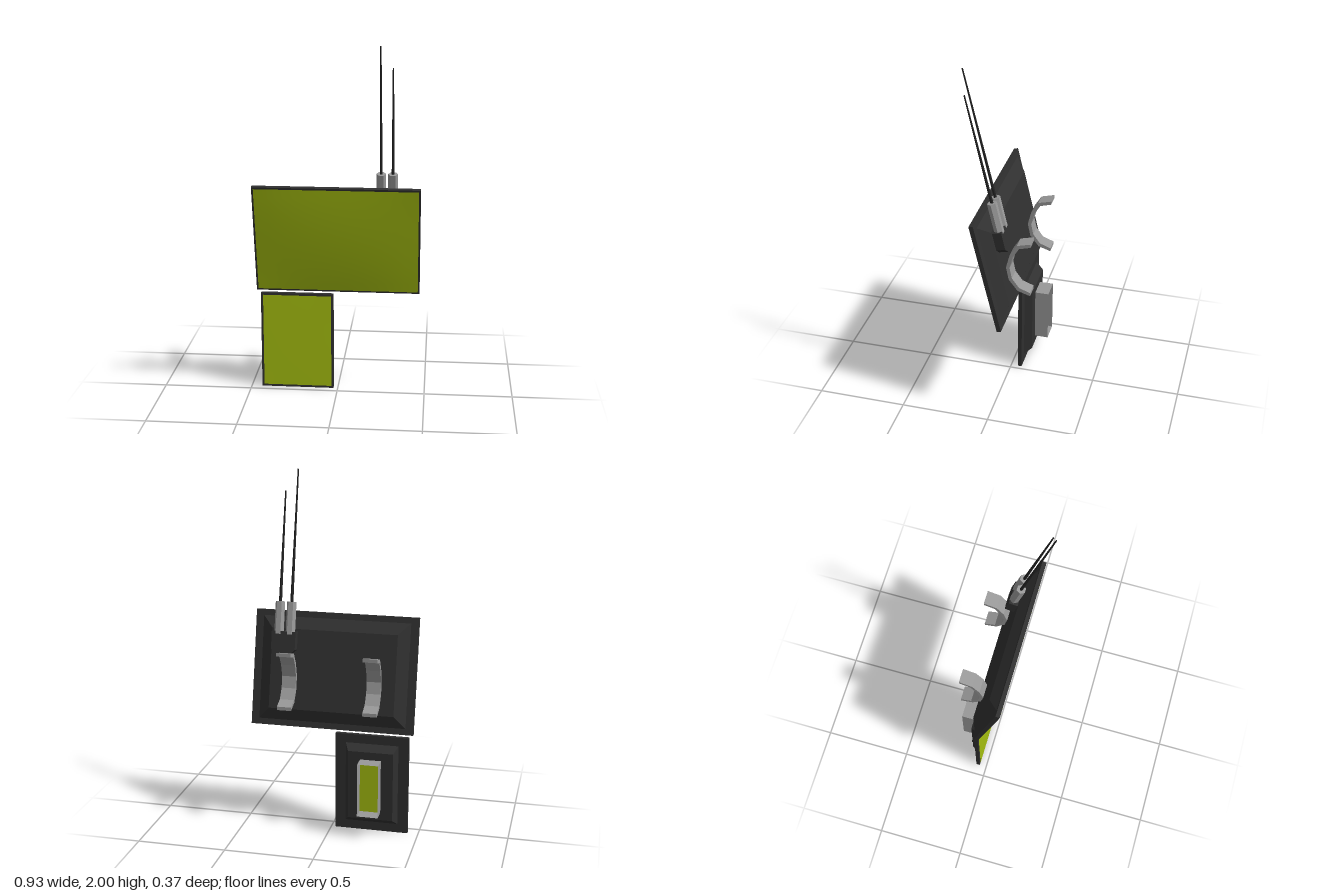
import * as THREE from 'three';

const mat = (color, extra = {}) => new THREE.MeshStandardMaterial({ color, flatShading: true, ...extra });
const dark = mat(0x303030);
const rodMat = mat(0x222222);
const grey = mat(0x999999, { side: THREE.DoubleSide });
const green = new THREE.MeshStandardMaterial({ color: 0xa4bd10, side: THREE.DoubleSide });

function add(parent, name, geometry, material, x = 0, y = 0, z = 0) {
  const mesh = new THREE.Mesh(geometry, material);
  mesh.name = name;
  mesh.position.set(x, y, z);
  parent.add(mesh);
  return mesh;
}

// Box whose back face (-z) is smaller than its front face
function frustum(w, h, d, backW, backH) {
  const g = new THREE.BoxGeometry(w, h, d);
  const p = g.attributes.position;
  for (let i = 0; i < p.count; i++) {
    if (p.getZ(i) < 0) p.setXY(i, p.getX(i) * backW / w, p.getY(i) * backH / h);
  }
  g.computeVertexNormals();
  return g;
}

// Rectangular sheet bulging gently towards +z
function domed(w, h, bulge) {
  const g = new THREE.PlaneGeometry(w, h, 12, 12);
  const p = g.attributes.position;
  for (let i = 0; i < p.count; i++) {
    const u = 2 * p.getX(i) / w, v = 2 * p.getY(i) / h;
    p.setZ(i, bulge * (1 - u * u) * (1 - v * v));
  }
  g.computeVertexNormals();
  return g;
}

function extrude(points, depth) {
  const shape = new THREE.Shape(points.map(([x, y]) => new THREE.Vector2(x, y)));
  return new THREE.ExtrudeGeometry(shape, { depth, bevelEnabled: false });
}

function createUpperPanel() {
  const panel = new THREE.Group();
  panel.name = 'upperPanel';
  panel.position.set(0, 0.905, 0.015);
  panel.rotation.x = 0.229;
  add(panel, 'upperPlate', new THREE.BoxGeometry(0.925, 0.65, 0.024), dark);
  add(panel, 'upperScreen', domed(0.905, 0.63, 0.012), green, 0, 0, 0.0135);
  add(panel, 'upperBackHousing', frustum(0.84, 0.585, 0.045, 0.71, 0.45), dark, 0, 0, -0.0335);

  // Aerial socket with chamfered lower corners
  const socket = [[-0.068, 0.21], [-0.068, 0.11], [-0.036, 0.08], [0.036, 0.08], [0.068, 0.11], [0.068, 0.21]];
  add(panel, 'aerialSocket', extrude(socket, 0.055), dark, 0.276, 0, -0.107);

  // Two hexagonal aerial bases with tapering rods
  for (const [x, tip] of [[0.243, 1.105], [0.308, 0.985]]) {
    const base = add(panel, 'aerialBase', new THREE.CylinderGeometry(0.027, 0.027, 0.18, 6), grey, x, 0.285, -0.085);
    base.rotation.y = Math.PI / 2;
    const length = tip - 0.37;
    add(panel, 'aerialRod', new THREE.CylinderGeometry(0.004, 0.009, length, 6), rodMat, x, 0.37 + length / 2, -0.085);
  }
  return panel;
}

function createLowerPanel() {
  const panel = new THREE.Group();
  panel.name = 'lowerPanel';
  panel.position.set(-0.232, 0.285, -0.052);
  add(panel, 'lowerPlate', new THREE.BoxGeometry(0.415, 0.57, 0.022), dark);
  add(panel, 'lowerScreen', domed(0.39, 0.545, 0.001), green, 0, 0, 0.0125);
  add(panel, 'lowerBackHousing', frustum(0.3, 0.47, 0.044, 0.255, 0.4), dark, 0, 0, -0.032);

  // Open-backed box with a coloured floor
  for (const s of [-1, 1]) {
    const side = add(panel, 'mountSide', new THREE.PlaneGeometry(0.08, 0.31), grey, s * 0.059, 0, -0.093);
    side.rotation.y = s * Math.PI / 2;
    const end = add(panel, 'mountEnd', new THREE.PlaneGeometry(0.118, 0.08), grey, 0, s * 0.155, -0.093);
    end.rotation.x = -s * Math.PI / 2;
  }
  const floor = add(panel, 'mountFloor', new THREE.PlaneGeometry(0.118, 0.31), green, 0, 0, -0.056);
  floor.rotation.y = Math.PI;
  return panel;
}

// Curved clip: side profile as [-z, y], extruded along x
function createClip(x) {
  const profile = [
    [0.185, 1.05], [0.11, 1.03], [0.07, 0.965], [0.05, 0.885], [0.065, 0.81], [0.115, 0.745], [0.185, 0.722],
    [0.185, 0.742], [0.123, 0.765], [0.083, 0.82], [0.07, 0.885], [0.088, 0.955], [0.122, 1.012], [0.185, 1.03],
  ];
  const clip = new THREE.Group();
  clip.name = 'clip';
  const band = add(clip, 'clipBand', extrude(profile, 0.08), grey, x - 0.04);
  band.rotation.y = Math.PI / 2;
  return clip;
}

export function createModel() {
  const model = new THREE.Group();
  model.name = 'twoPanelDevice';
  model.add(createUpperPanel(), createLowerPanel(), createClip(-0.24), createClip(0.24));
  return model;
}
